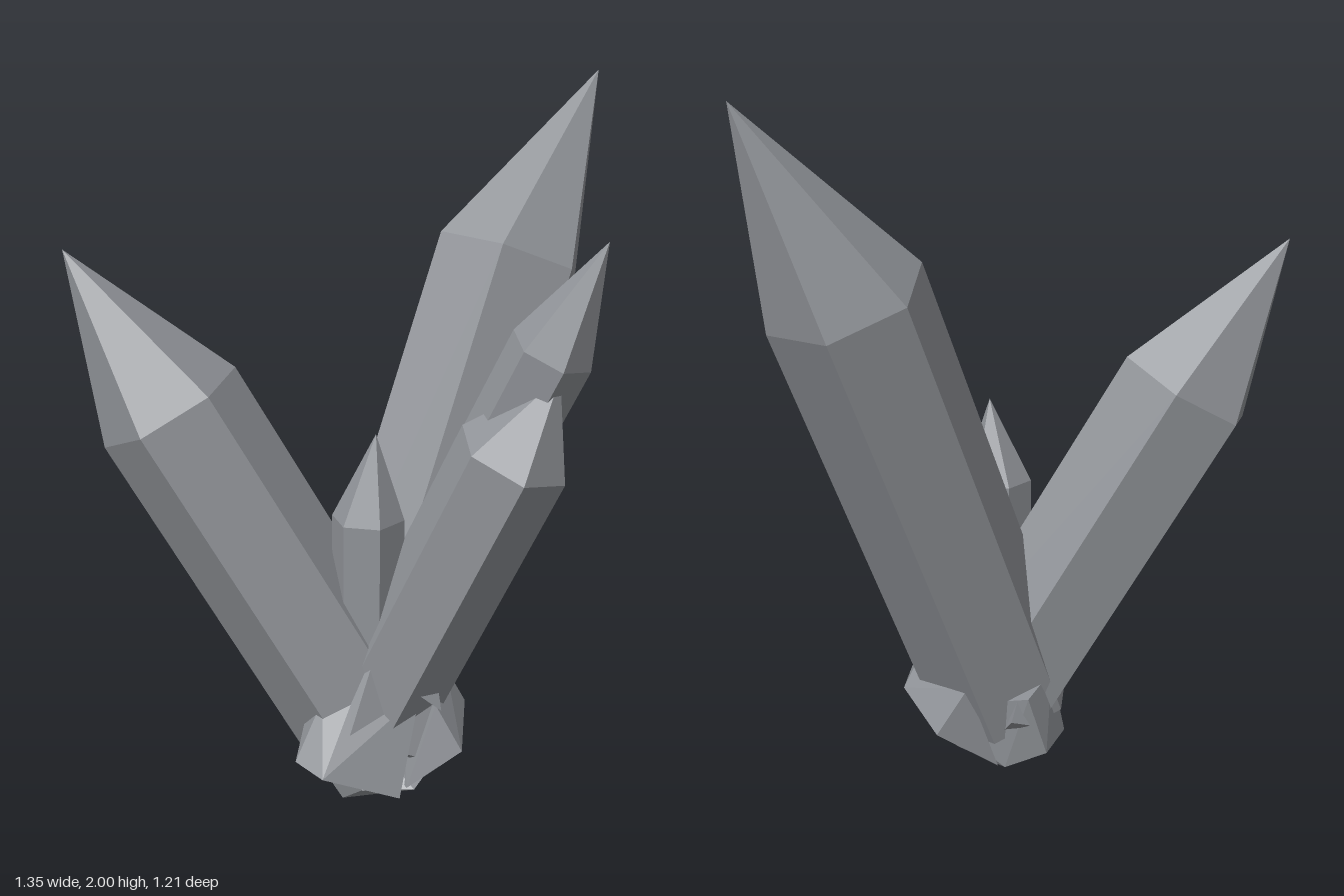
import * as THREE from 'three';
import { ConvexGeometry } from 'three/addons/geometries/ConvexGeometry.js';

const stone = new THREE.MeshStandardMaterial({ color: 0x919499 });
stone.name = 'greyCrystal';

const vec = (p) => new THREE.Vector3(...p);

// Convex faceted solid with hard edges
function faceted(name, points) {
  const geometry = new ConvexGeometry(points);
  geometry.computeVertexNormals();
  const mesh = new THREE.Mesh(geometry, stone);
  mesh.name = name;
  return mesh;
}

// Six-sided column between two ring centres, with a point at each end.
// "corner" is the rough direction of one ring corner.
function crystal({ name, base, shoulder, tip, radius, baseRadius = radius, corner, root = 0.08 }) {
  const a = vec(base), b = vec(shoulder);
  const axis = b.clone().sub(a).normalize();
  const u = vec(corner);
  u.addScaledVector(axis, -u.dot(axis)).normalize();
  const v = axis.clone().cross(u);
  const points = [vec(tip), a.clone().addScaledVector(axis, -root)];
  for (let i = 0; i < 6; i++) {
    const t = (i * Math.PI) / 3;
    const spoke = u.clone().multiplyScalar(Math.cos(t)).addScaledVector(v, Math.sin(t));
    points.push(b.clone().addScaledVector(spoke, radius));
    points.push(a.clone().addScaledVector(spoke, baseRadius));
  }
  return faceted(name, points);
}

const crystals = [
  { name: 'tallLeftCrystal', base: [-0.18, 0.2, 0.0], shoulder: [0.393, 1.493, 0.065],
    tip: [0.675, 2.0, 0.16], radius: 0.22, corner: [0, 0, -1] },
  { name: 'backRightCrystal', base: [-0.14, 0.2, 0.02], shoulder: [-0.497, 1.155, -0.395],
    tip: [-0.66, 1.58, -0.605], radius: 0.205, corner: [-0.18, -0.035, 0.09] },
  { name: 'frontUpperCrystal', base: [-0.095, 0.25, -0.06], shoulder: [0.035, 1.35, 0.473],
    tip: [0.08, 1.64, 0.605], radius: 0.113, corner: [0.105, 0, 0.015] },
  { name: 'frontLowerCrystal', base: [-0.155, 0.25, 0.03], shoulder: [-0.05, 1.08, 0.42],
    tip: [0.0, 1.3, 0.525], radius: 0.155, corner: [-0.15, 0.03, -0.02] },
  { name: 'uprightCrystal', base: [-0.19, 0.2, 0.03], shoulder: [-0.195, 0.86, 0.045],
    tip: [-0.19, 1.1, 0.07], radius: 0.1, corner: [-1, 0, 0] },
];

// Rough lumps around the foot of the cluster
const lumps = {
  rightLump: [
    [-0.45, 0.19, 0.1], [-0.45, 0.21, 0], [-0.36, 0.37, 0.02], [-0.27, 0.42, 0.08],
    [-0.16, 0.37, 0.2], [-0.27, 0.1, 0.22], [-0.3, 0.12, -0.12], [-0.2, 0.36, -0.15],
  ],
  frontLump: [
    [0.03, 0.36, 0.14], [0.08, 0.25, 0.17], [0.125, 0.17, 0], [0.07, 0.32, -0.07],
    [-0.11, 0.21, 0.31], [-0.14, 0.34, 0.24], [-0.02, 0.05, -0.11], [-0.24, 0.12, 0.22],
  ],
  footLump: [
    [-0.29, 0.09, 0.1], [-0.24, 0, -0.02], [-0.08, 0.015, 0.1], [-0.04, 0.04, -0.12],
    [-0.07, 0.12, -0.25], [-0.22, 0.12, -0.2], [-0.22, 0.11, 0.23], [-0.01, 0.15, 0.18],
    [-0.02, 0.3, -0.22], [-0.18, 0.32, -0.18],
  ],
  frontShard: [[-0.1, 0.46, 0.2], [-0.21, 0.4, 0.22], [-0.14, 0.33, 0.26], [-0.1, 0.33, 0.15]],
  backShard: [[0.03, 0.24, -0.2], [0.0, 0.19, -0.15], [-0.02, 0.28, -0.18], [-0.06, 0.2, -0.22]],
};

export function createModel() {
  const model = new THREE.Group();
  model.name = 'crystalCluster';
  for (const spec of crystals) model.add(crystal(spec));
  for (const [name, points] of Object.entries(lumps)) model.add(faceted(name, points.map(vec)));
  return model;
}
